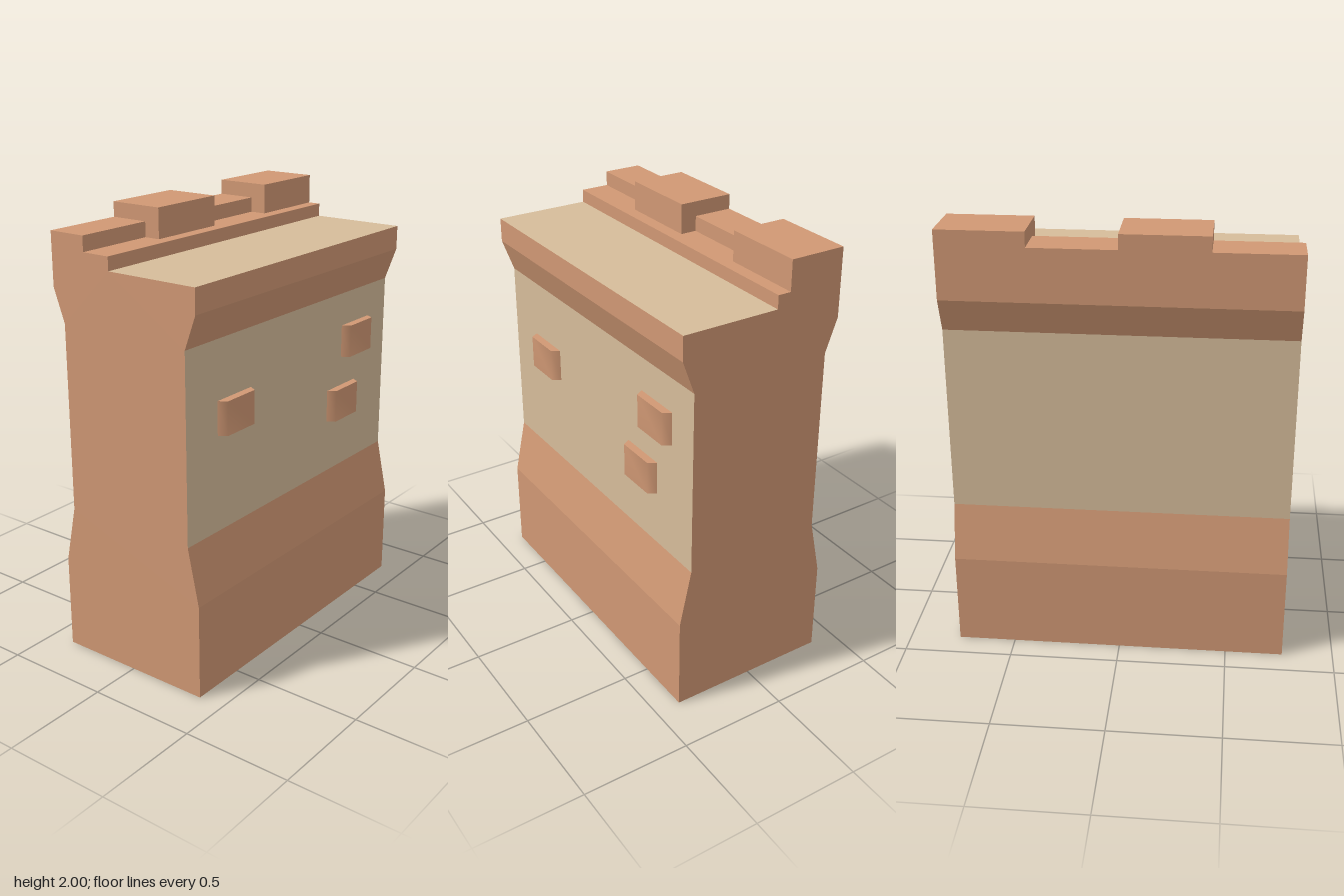
import * as THREE from 'three';
import { toCreasedNormals } from 'three/addons/utils/BufferGeometryUtils.js';

const LENGTH = 1.53;
const FLOOR = 1.805;
const LEDGE = 1.865;

function shapeOf(points) {
  return new THREE.Shape(points.map(([x, y]) => new THREE.Vector2(x, y)));
}

// Wall cross-section swept along z; waist faces and walkway get the plaster material
function wallGeometry() {
  const profile = shapeOf([
    [-0.38, 0], [0.38, 0], [0.38, 0.435], [0.325, 0.695], [0.325, 1.545],
    [0.38, 1.695], [0.38, FLOOR], [-0.065, FLOOR], [-0.065, LEDGE], [-0.38, LEDGE],
    [-0.38, 1.695], [-0.325, 1.545], [-0.325, 0.695], [-0.38, 0.435],
  ]);
  const geo = new THREE.ExtrudeGeometry(profile, { depth: LENGTH, bevelEnabled: false });
  geo.translate(0, 0, -LENGTH / 2);
  const p = geo.attributes.position;
  const near = (a, b) => Math.abs(a - b) < 1e-4;
  geo.clearGroups();
  for (let i = 0; i < p.count; i += 3) {
    const corners = [i, i + 1, i + 2];
    const waist = corners.every(k => near(p.getX(k), 0.325)) || corners.every(k => near(p.getX(k), -0.325));
    const walkway = corners.every(k => near(p.getY(k), FLOOR));
    geo.addGroup(i, 3, waist || walkway ? 1 : 0);
  }
  return geo;
}

// Protruding brick with softened vertical edges, facing +x
function brickGeometry() {
  const outline = shapeOf([[0, -0.115], [0.036, -0.092], [0.036, 0.092], [0, 0.115]]);
  const geo = new THREE.ExtrudeGeometry(outline, { depth: 0.152, bevelEnabled: false });
  geo.translate(0, 0, -0.076);
  geo.rotateX(-Math.PI / 2);
  return toCreasedNormals(geo, 1.2);
}

export function createModel() {
  const brick = new THREE.MeshStandardMaterial({ color: 0xd09874 });
  brick.name = 'terracotta';
  const plaster = new THREE.MeshStandardMaterial({ color: 0xd6bc9a });
  plaster.name = 'sand plaster';

  const model = new THREE.Group();
  model.name = 'castleWall';
  const add = (name, geo, material, x = 0, y = 0, z = 0) => {
    const mesh = new THREE.Mesh(geo, material);
    mesh.name = name;
    mesh.position.set(x, y, z);
    model.add(mesh);
  };

  add('wall', wallGeometry(), [brick, plaster]);

  // Alternating merlons and low parapet sections along the outer edge
  const section = LENGTH / 4;
  for (let i = 0; i < 4; i++) {
    const tall = i % 2 === 0;
    const width = tall ? 0.255 : 0.18;
    const height = tall ? 2 - LEDGE : 0.068;
    add(tall ? 'merlon' : 'parapet', new THREE.BoxGeometry(width, height, section), brick,
      -0.38 + width / 2, LEDGE + height / 2, -LENGTH / 2 + section * (i + 0.5));
  }

  // Loose bricks on the inner face
  const brickGeo = brickGeometry();
  for (const [y, z] of [[1.205, 0.445], [1.315, -0.497], [1.023, -0.386]]) {
    add('brick', brickGeo, brick, 0.325, y, z);
  }
  return model;
}
